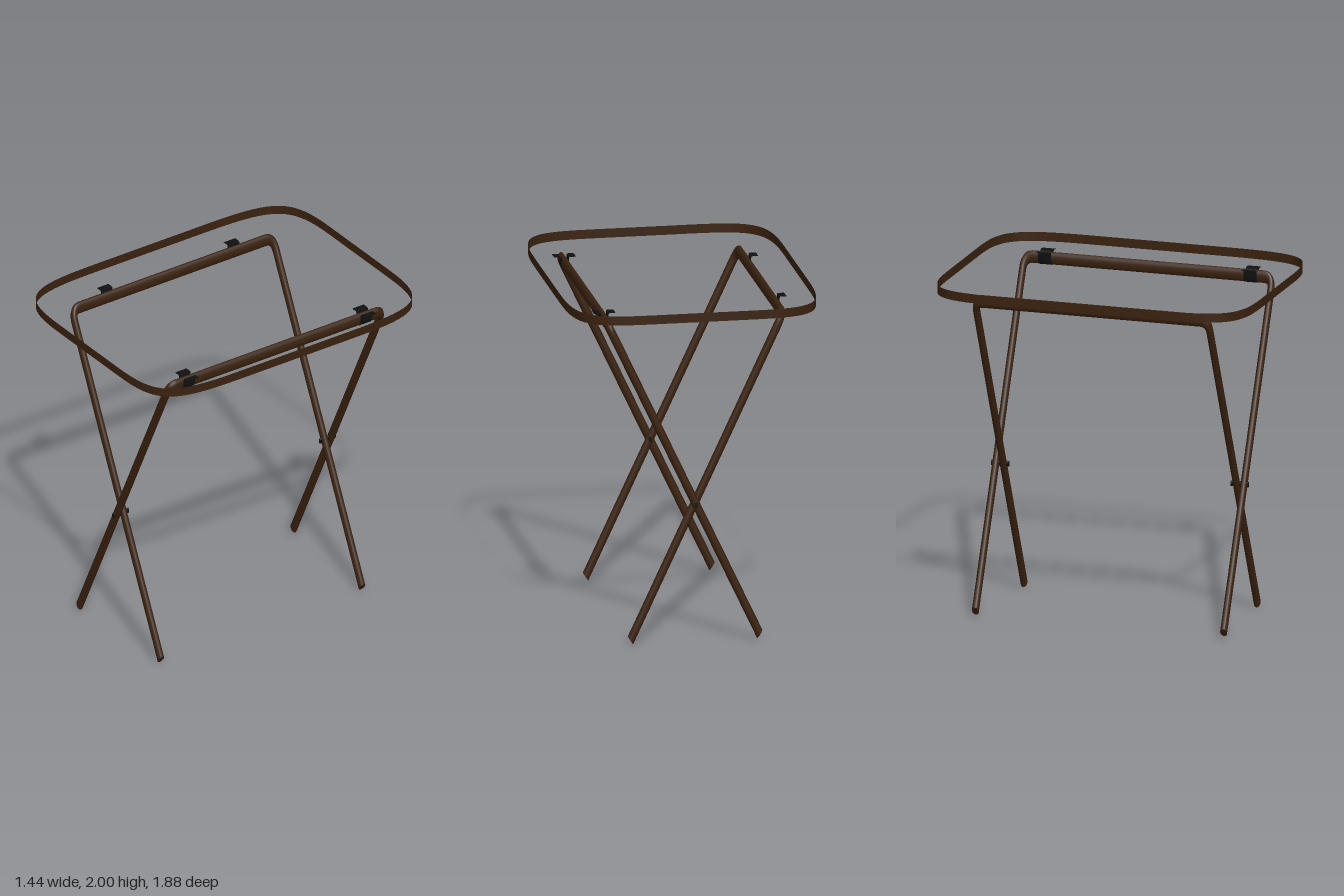
import * as THREE from 'three';

const STRETCH = 1.85; // tubes are taller than wide in section
const BAR_Y = 1.906, BAR_X = 0.51;

// Thin strip: a path swept along one offset vector
function ribbon(points, offset) {
  const pos = [], index = [];
  points.forEach((p, i) => {
    pos.push(p.x, p.y, p.z, p.x + offset.x, p.y + offset.y, p.z + offset.z);
    if (i < points.length - 1) {
      const a = i * 2;
      index.push(a, a + 2, a + 1, a + 2, a + 3, a + 1);
    }
  });
  const g = new THREE.BufferGeometry();
  g.setAttribute('position', new THREE.Float32BufferAttribute(pos, 3));
  g.setIndex(index);
  g.computeVertexNormals();
  return g;
}

export function createModel() {
  const group = new THREE.Group();
  const brown = new THREE.MeshStandardMaterial({ name: 'dark brown', color: 0x3a220f, side: THREE.DoubleSide });
  const black = new THREE.MeshStandardMaterial({ name: 'black', color: 0x101010, side: THREE.DoubleSide });
  const blackInner = new THREE.MeshStandardMaterial({ name: 'black one sided', color: 0x101010 });

  const add = (name, geometry, material, parent = group) => {
    const mesh = new THREE.Mesh(geometry, material);
    mesh.name = name;
    parent.add(mesh);
    return mesh;
  };

  // Tray rim: open band with soft corners
  const W = 0.72, D = 0.94, sx = 0.3, sz = 0.4, cx = 0.66, cz = 0.86;
  const outline = new THREE.Shape();
  outline.moveTo(0, D);
  outline.lineTo(sx, D);
  outline.bezierCurveTo(cx, D, W, cz, W, sz);
  outline.lineTo(W, -sz);
  outline.bezierCurveTo(W, -cz, cx, -D, sx, -D);
  outline.lineTo(-sx, -D);
  outline.bezierCurveTo(-cx, -D, -W, -cz, -W, -sz);
  outline.lineTo(-W, sz);
  outline.bezierCurveTo(-W, cz, -cx, D, -sx, D);
  outline.lineTo(0, D);
  const rimPath = outline.getPoints(16).map((p) => new THREE.Vector3(p.x, 1.947, p.y));
  add('trayRim', ribbon(rimPath, new THREE.Vector3(0, 0.053, 0)), brown);

  // Leg frame: one bent tube, leg - top bar - leg
  function legFrame(name, topX, footX, footY, z) {
    const frame = new THREE.Group();
    frame.name = name;
    group.add(frame);
    const r = 0.02, bend = 0.05;
    const top = (s) => new THREE.Vector3(topX, BAR_Y / STRETCH, s * z);
    const foot = (s) => new THREE.Vector3(footX, footY / STRETCH, s * z);
    const down = foot(1).sub(top(1)).normalize();
    const path = new THREE.CurvePath();
    const legEnd = (s) => top(s).addScaledVector(down, bend);
    const barEnd = (s) => top(s).add(new THREE.Vector3(0, 0, -s * bend));
    path.add(new THREE.LineCurve3(foot(1), legEnd(1)));
    path.add(new THREE.QuadraticBezierCurve3(legEnd(1), top(1), barEnd(1)));
    path.add(new THREE.LineCurve3(barEnd(1), barEnd(-1)));
    path.add(new THREE.QuadraticBezierCurve3(barEnd(-1), top(-1), legEnd(-1)));
    path.add(new THREE.LineCurve3(legEnd(-1), foot(-1)));
    add('bentTube', new THREE.TubeGeometry(path, 320, r, 16).scale(1, STRETCH, 1), brown, frame);

    // Flat ends of the feet
    const turn = new THREE.Quaternion().setFromUnitVectors(new THREE.Vector3(0, 0, 1), down);
    for (const s of [1, -1]) {
      const f = foot(s);
      const cap = new THREE.CircleGeometry(r, 16).applyQuaternion(turn).translate(f.x, f.y, f.z);
      add('footEnd', cap.scale(1, STRETCH, 1), brown, frame);
    }
  }
  legFrame('outerLegFrame', BAR_X, -0.368, 0.041, 0.743);
  legFrame('innerLegFrame', -BAR_X, 0.37, 0.025, 0.698);

  // Clip section: half a cradle, from under the bar out to the flange
  const half = [[0, -0.039], [0.009, -0.036], [0.017, -0.024], [0.022, 0], [0.022, 0.034], [0.026, 0.04], [0.063, 0.04]];
  const at = (x, side) => half.map(([dx, dy]) => new THREE.Vector3(x + side * dx, BAR_Y + dy, 0));
  const width = new THREE.Vector3(0, 0, 0.08);
  const cradle = ribbon([...at(BAR_X, 1).reverse(), ...at(BAR_X, -1).slice(1)], width);
  const hook = ribbon(at(-BAR_X, -1), width);

  for (const s of [1, -1]) {
    add('barClip', cradle, black).position.z = s * 0.615 - 0.04;
    add('barHook', hook, blackInner).position.z = s * 0.44 - 0.04;

    // Pivot pin where the legs cross
    const pin = new THREE.CylinderGeometry(0.009, 0.009, 0.106, 12).rotateX(Math.PI / 2).scale(1, STRETCH, 1);
    add('pivotPin', pin, black).position.set(0, 0.82, s * 0.717);
  }
  return group;
}
